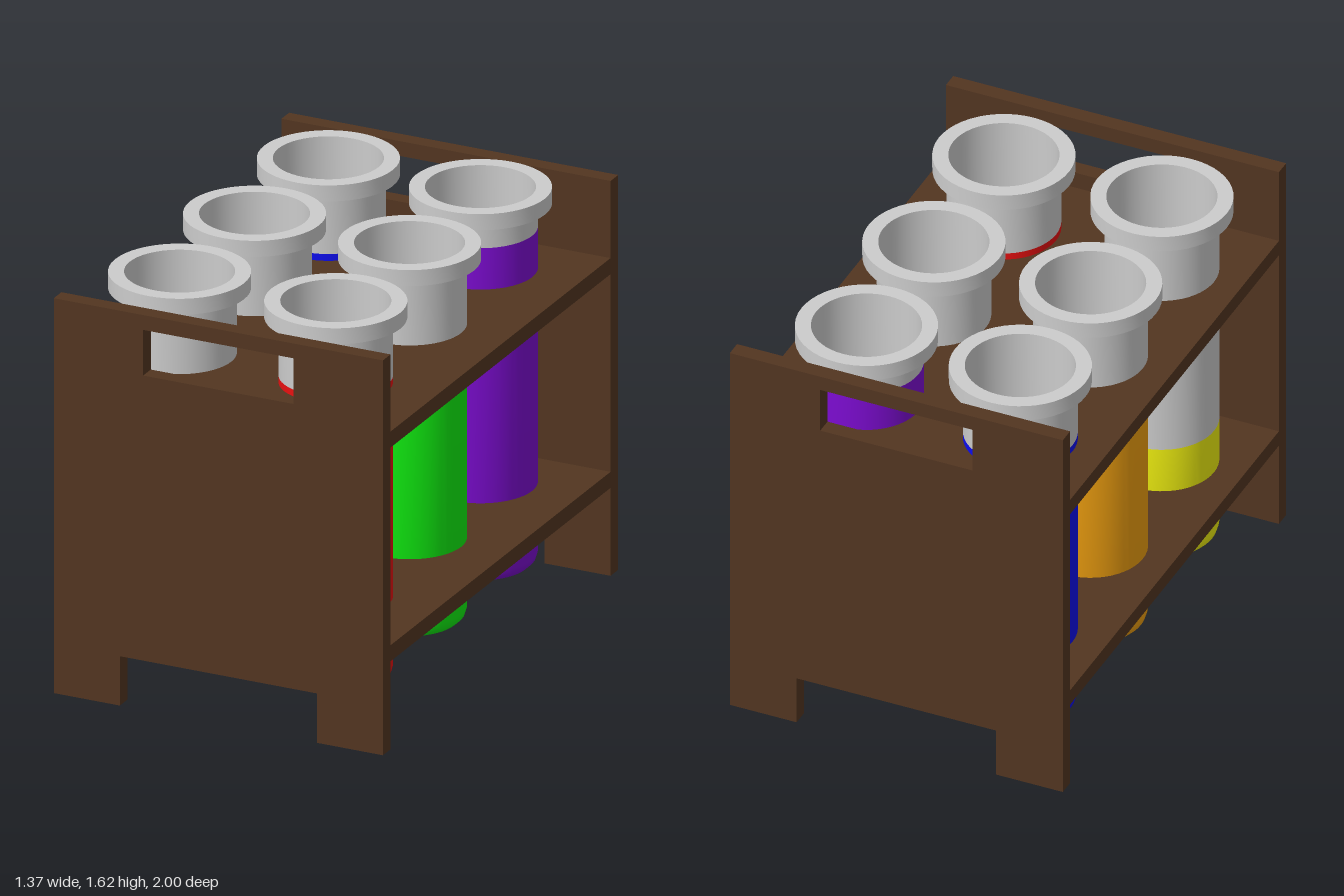
import * as THREE from 'three';
import { toCreasedNormals } from 'three/addons/utils/BufferGeometryUtils.js';

const mat = (color) => new THREE.MeshStandardMaterial({ color });

function part(name, geometry, material, x = 0, y = 0, z = 0) {
  const mesh = new THREE.Mesh(geometry, material);
  mesh.name = name;
  mesh.position.set(x, y, z);
  return mesh;
}

function lathe(points) {
  const profile = points.map(([r, y]) => new THREE.Vector2(r, y));
  return toCreasedNormals(new THREE.LatheGeometry(profile, 48), 0.6);
}

// End board with two feet and a hand slot
function endBoardGeometry(thickness) {
  const outline = [
    [-0.685, 0], [-0.41, 0], [-0.41, 0.2], [0.41, 0.2], [0.41, 0],
    [0.685, 0], [0.685, 1.6], [-0.685, 1.6],
  ];
  const slot = [[-0.313, 1.355], [-0.313, 1.54], [0.313, 1.54], [0.313, 1.355]];
  const toPoints = (list) => list.map(([x, y]) => new THREE.Vector2(x, y));
  const shape = new THREE.Shape(toPoints(outline));
  shape.holes.push(new THREE.Path(toPoints(slot)));
  return new THREE.ExtrudeGeometry(shape, { depth: thickness, bevelEnabled: false });
}

// Test tube: coloured outside up to the fill level, grey rim and bore above
function createTube(name, color, level, x, z, glass) {
  const tube = new THREE.Group();
  tube.name = name;
  const filled = lathe([
    [0, 0.09], [0.16, 0.09], [0.185, 0.097], [0.207, 0.118], [0.215, 0.145], [0.215, level],
  ]);
  const clear = lathe([
    [0.215, level], [0.215, 1.55], [0.268, 1.55], [0.268, 1.615],
    [0.208, 1.615], [0.208, 0.15], [0, 0.15],
  ]);
  tube.add(part('liquid', filled, mat(color)), part('glass', clear, glass));
  tube.position.set(x, 0, z);
  return tube;
}

export function createModel() {
  const model = new THREE.Group();
  model.name = 'testTubeRack';
  const wood = mat(0x523520);
  const glass = mat(0xcccccc);
  const thickness = 0.065;

  // End boards
  const board = endBoardGeometry(thickness);
  model.add(part('frontBoard', board, wood, 0, 0, 1 - thickness));
  model.add(part('backBoard', board, wood, 0, 0, -1));

  // Shelves running between the boards
  const shelf = new THREE.BoxGeometry(1.37, thickness, 2 - 2 * thickness);
  model.add(part('lowerShelf', shelf, wood, 0, 0.389, 0));
  model.add(part('upperShelf', shelf, wood, 0, 1.255, 0));

  // Six tubes: name, colour, fill level, x, z
  const tubes = [
    ['redTube', 0xe81010, 1.315, 0.288, 0.59],
    ['greenTube', 0x10f010, 1.185, 0.288, -0.037],
    ['purpleTube', 0x7d0cd2, 1.455, 0.288, -0.64],
    ['yellowTube', 0xf0f010, 0.61, -0.362, 0.59],
    ['orangeTube', 0xf0a010, 1.25, -0.357, -0.037],
    ['blueTube', 0x0c0cf0, 1.315, -0.345, -0.64],
  ];
  for (const t of tubes) model.add(createTube(...t, glass));

  return model;
}
